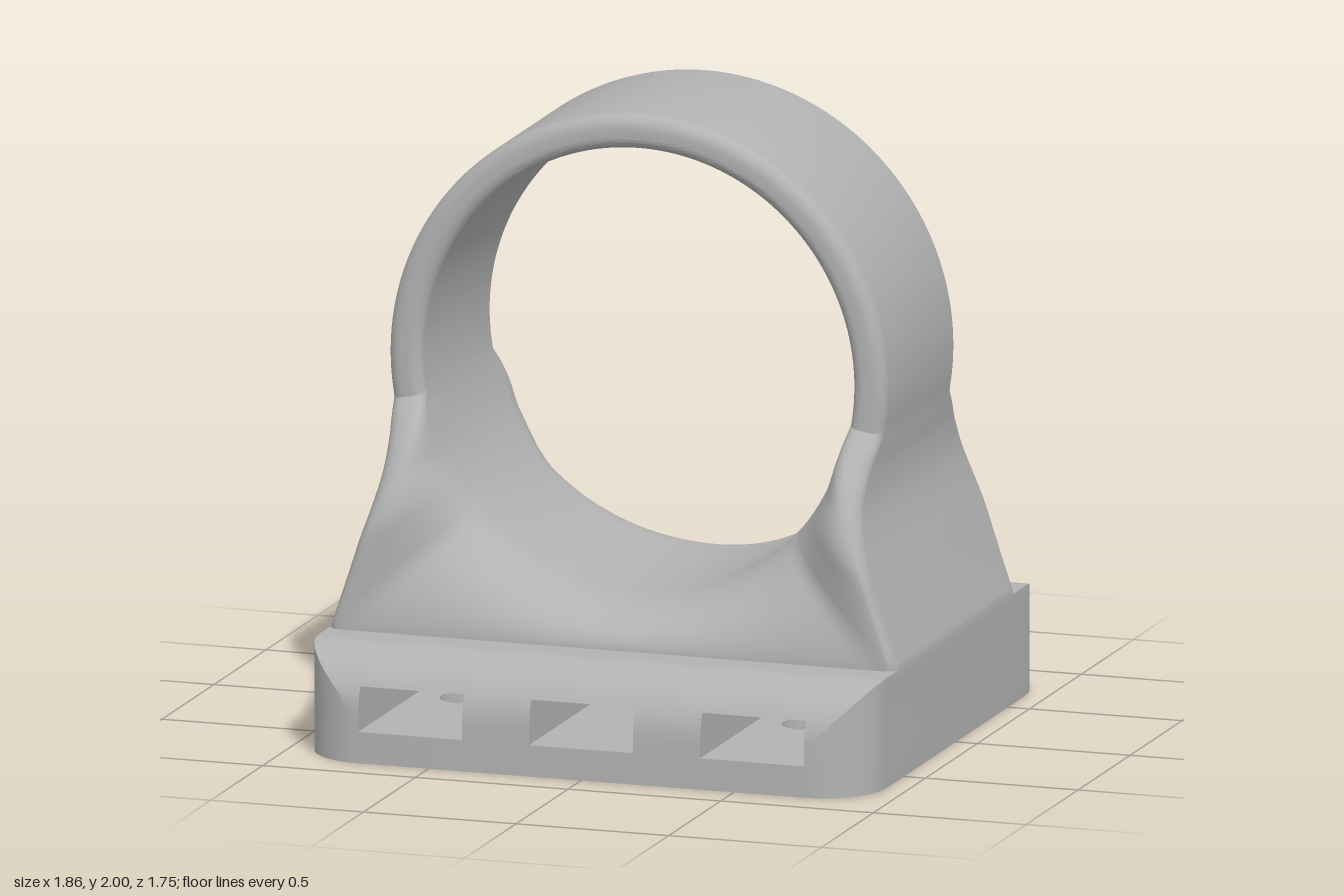
import * as THREE from 'three';
import { toCreasedNormals } from 'three/addons/utils/BufferGeometryUtils.js';

const grey = new THREE.MeshStandardMaterial({ color: 0xb2b2b2, side: THREE.DoubleSide });
grey.name = 'grey plastic';

// Base dimensions
const HX = 0.93, HZ = 0.875, TOP = 0.35, R = 0.2;
const SLOT_Y0 = 0.1, SLOT_Y1 = 0.24, SLOT_W = 0.17;
const BOLTS = [[-0.56, 0.32], [0, -0.64], [0.56, 0.32]];

// Ring dimensions
const CY = 1.185, BORE = 0.705, OUTER = 0.815;

// Surface through rows of points; skip(i, j) leaves a quad open
function grid(rows, skip = () => false, crease = 0.5) {
  const pos = [];
  for (let i = 0; i < rows.length - 1; i++) {
    for (let j = 0; j < rows[i].length - 1; j++) {
      if (skip(i, j)) continue;
      const a = rows[i][j], b = rows[i][j + 1], c = rows[i + 1][j + 1], d = rows[i + 1][j];
      pos.push(...a, ...b, ...c, ...a, ...c, ...d);
    }
  }
  const g = new THREE.BufferGeometry();
  g.setAttribute('position', new THREE.Float32BufferAttribute(pos, 3));
  return toCreasedNormals(g, crease);
}

function add(parent, name, geometry) {
  const m = new THREE.Mesh(geometry, grey);
  m.name = name;
  parent.add(m);
  return m;
}

// Flat plate in the xz plane at height y, shape y becomes z
function flat(shape, y) {
  return new THREE.ShapeGeometry(shape, 24).rotateX(Math.PI / 2).translate(0, y, 0);
}

function boltHole(x, z) {
  return new THREE.Path().absarc(x, z, 0.087, 0, Math.PI * 2, true);
}

// Half depth of the base at height y: rounded front and back top edges
function baseDepth(y) {
  const k = Math.max(0, y - (TOP - R));
  return HZ - R + Math.sqrt(Math.max(0, R * R - k * k));
}

// Base outline at height y, with front points at the slot edges
function baseLoop(y) {
  const cx = HX - R, cz = HZ - R, z = baseDepth(y);
  const t = Math.asin(Math.min(1, (z - cz) / R)), n = 10;
  const xi = cx + R * Math.cos(t);
  const loop = [-xi];
  BOLTS.forEach(([x]) => loop.push(x - SLOT_W, x + SLOT_W));
  loop.push(xi);
  const pts = loop.map(x => [x, y, z]);
  const arc = (sx, from, to) => {
    for (let i = 0; i <= n; i++) {
      const a = from + (to - from) * i / n;
      pts.push([sx * (cx + R * Math.cos(a)), y, Math.sign(from + to) * cz + R * Math.sin(a)]);
    }
  };
  arc(1, t + 1e-9, 0);
  arc(1, 0, -t - 1e-9);
  arc(-1, -t - 1e-9, 0);
  arc(-1, 0, t + 1e-9);
  return pts;
}

function makeBase() {
  const base = new THREE.Group();
  base.name = 'base';

  // Outer walls, open at the three front slots
  const ys = [0, 0.1, 0.15, 0.18, 0.21, 0.24, 0.265, 0.29, 0.31, 0.328, 0.341, 0.348, TOP];
  const isSlot = (i, j) => ys[i] >= SLOT_Y0 && ys[i] < SLOT_Y1 && (j === 1 || j === 3 || j === 5);
  add(base, 'baseWalls', grid(ys.map(baseLoop), isSlot));

  add(base, 'baseTop', new THREE.PlaneGeometry(2 * HX, 2 * (HZ - R))
    .rotateX(-Math.PI / 2).translate(0, TOP, 0));

  // Underside with bolt holes
  const under = new THREE.Shape(baseLoop(0).map(p => new THREE.Vector2(p[0], p[2])));
  BOLTS.forEach(([x, z]) => under.holes.push(boltHole(x, z)));
  add(base, 'baseUnderside', flat(under, 0));

  // Nut slots running from the front to a pointed end behind each bolt hole
  const slotYs = ys.filter(y => y >= SLOT_Y0 && y <= SLOT_Y1);
  const side = SLOT_W / Math.sqrt(3);
  BOLTS.forEach(([x, z]) => {
    const path = y => [
      [x - SLOT_W, y, baseDepth(y)], [x - SLOT_W, y, z - side], [x, y, z - 2 * side],
      [x + SLOT_W, y, z - side], [x + SLOT_W, y, baseDepth(y)],
    ];
    const outline = y => new THREE.Shape(path(y).map(p => new THREE.Vector2(p[0], p[2])));
    const floor = outline(SLOT_Y0);
    floor.holes.push(boltHole(x, z));
    add(base, 'slotWalls', grid(slotYs.map(path)));
    add(base, 'slotFloor', flat(floor, SLOT_Y0));
    add(base, 'slotCeiling', flat(outline(SLOT_Y1), SLOT_Y1));
    add(base, 'boltHole', new THREE.CylinderGeometry(0.087, 0.087, SLOT_Y0, 32, 1, true))
      .position.set(x, SLOT_Y0 / 2, z);
  });
  return base;
}

// Half depth of ring and pedestal at height y
function bodyDepth(y) {
  const u = THREE.MathUtils.clamp((y - 0.6) / 0.44, 0, 1);
  return 0.35 + 0.235 * (1 - Math.pow(u, 1.8));
}

// Right half of the front outline, from the top of the ring to the bottom centre
function halfOutline() {
  const pts = [];
  for (let i = 0; i <= 56; i++) {
    const a = Math.PI / 2 - (Math.PI / 2 + 0.12) * i / 56;
    pts.push([OUTER * Math.cos(a), CY + OUTER * Math.sin(a)]);
  }
  const flank = new THREE.SplineCurve([
    [0.809, 1.087], [0.797, 1.0], [0.786, 0.92], [0.787, 0.83], [0.805, 0.74],
    [0.835, 0.64], [0.88, 0.5], [0.93, 0.35],
  ].map(p => new THREE.Vector2(...p)));
  flank.getPoints(36).slice(1).forEach(p => pts.push([p.x, p.y]));
  for (let i = 0; i <= 24; i++) pts.push([0.92 * (1 - i / 24), 0.3]);
  return pts;
}

// Closed section at one outline point: bore, flare, rounded lip, outer wall
function bodySection([x, y]) {
  const dist = Math.hypot(x, y - CY), w = dist - BORE;
  const dx = x / dist, dy = (y - CY) / dist;
  const zc = bodyDepth(y), r = 0.045;
  const blend = 1 - THREE.MathUtils.smoothstep(y, 0.78, 1.05);
  const flare = THREE.MathUtils.lerp(0.04, w - r, blend);
  const zs = THREE.MathUtils.lerp(zc - 0.04, 0.3, blend);
  const half = [[0, 0]];
  for (let i = 0; i <= 12; i++) {
    const t = Math.PI / 2 * i / 12;
    half.push([flare * (1 - Math.cos(t)), zs + (zc - zs) * Math.sin(t)]);
  }
  for (let i = 0; i <= 6; i++) {
    const t = Math.PI / 2 * i / 6;
    half.push([w - r + r * Math.sin(t), zc - r + r * Math.cos(t)]);
  }
  const back = half.map(([d, z]) => [d, -z]).reverse();
  return [...half, ...back].map(([d, z]) => [dx * (BORE + d), CY + dy * (BORE + d), z]);
}

export function createModel() {
  const model = new THREE.Group();
  model.name = 'ringMount';
  model.add(makeBase());

  // Ring blending down into the flared pedestal
  const right = halfOutline();
  const left = right.slice(0, -1).reverse().map(([x, y]) => [-x, y]);
  add(model, 'ringAndPedestal', grid([...right, ...left].map(bodySection), undefined, 0.6));
  return model;
}
